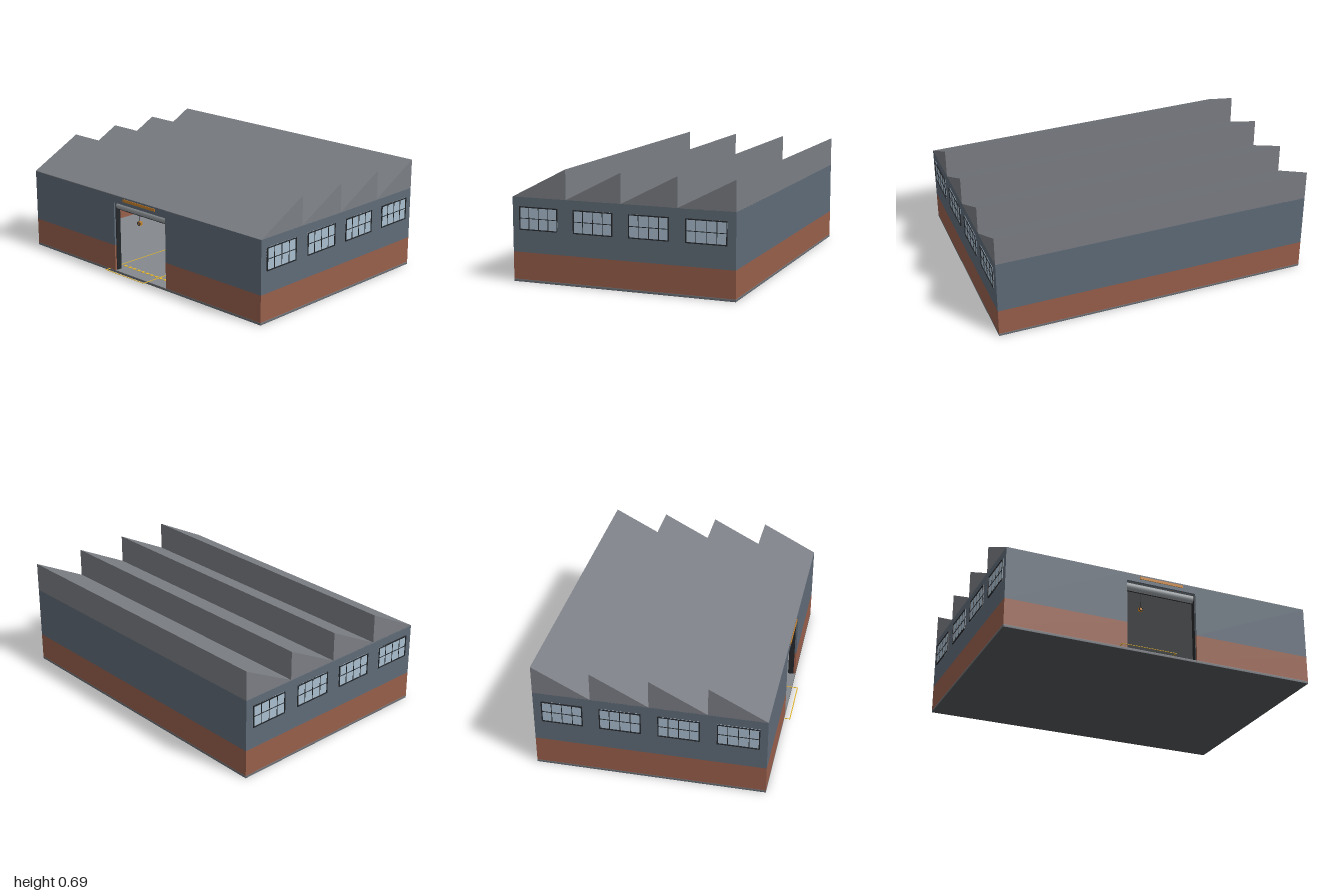
import * as THREE from 'three';

const mat = (color, side = THREE.FrontSide) => new THREE.MeshStandardMaterial({ color, side, flatShading: true });
const M = {
  blue: mat(0x5f6b78), brick: mat(0x985f4b), roof: mat(0x7b7e84), plinth: mat(0x6a6e74),
  floor: mat(0x85888c), under: mat(0x55575a), frame: mat(0x25282b), glass: mat(0xa9bdcf),
  metal: mat(0x9a9fa3), yellow: mat(0xe0b32a), orange: mat(0xc9822b), board: mat(0x5f7f92),
};

const XW = 0.993, ZF = 0.675, ZB = -0.72, T = 0.012;
const DEPTH = ZF - ZB, ZM = (ZF + ZB) / 2;
const FLOOR = 0.015, BAND = 0.18, EAVE = 0.51, RIDGE = 0.69;
const DOOR = { x0: -0.23, x1: 0.225, top: 0.46 };

// Box given by its extents along each axis
function box(parent, name, m, x0, x1, y0, y1, z0, z1) {
  const mesh = new THREE.Mesh(new THREE.BoxGeometry(x1 - x0, y1 - y0, z1 - z0), m);
  mesh.position.set((x0 + x1) / 2, (y0 + y1) / 2, (z0 + z1) / 2);
  mesh.name = name;
  parent.add(mesh);
  return mesh;
}

function group(parent, name) {
  const g = new THREE.Group();
  g.name = name;
  parent.add(g);
  return g;
}

// One colour band of the four walls, leaving the doorway free
function wallBand(parent, name, m, y0, y1) {
  const g = group(parent, name);
  box(g, 'backWall', m, -XW, XW, y0, y1, ZB, ZB + T);
  for (const s of [-1, 1]) {
    const x = s * (XW - T / 2);
    box(g, 'sideWall', m, x - T / 2, x + T / 2, y0, y1, ZB + T, ZF - T);
  }
  box(g, 'frontWallRight', m, -XW, DOOR.x0, y0, y1, ZF - T, ZF);
  box(g, 'frontWallLeft', m, DOOR.x1, XW, y0, y1, ZF - T, ZF);
  if (y1 > DOOR.top) box(g, 'doorLintel', m, DOOR.x0, DOOR.x1, DOOR.top, y1, ZF - T, ZF);
}

// Sawtooth roof: four slopes rising to the back, each with a vertical drop
function sawtoothRoof(parent) {
  const n = 4, step = DEPTH / n;
  const shape = new THREE.Shape();
  shape.moveTo(-ZF, EAVE - 0.004);
  shape.lineTo(-ZF, EAVE);
  for (let i = 0; i < n; i++) {
    const back = -ZF + (i + 1) * step;
    shape.lineTo(back, RIDGE);
    shape.lineTo(back, i < n - 1 ? EAVE : EAVE - 0.004);
  }
  const geo = new THREE.ExtrudeGeometry(shape, { depth: 2 * XW, bevelEnabled: false });
  geo.rotateY(Math.PI / 2);
  geo.translate(-XW, 0, 0);
  const roof = new THREE.Mesh(geo, M.roof);
  roof.name = 'sawtoothRoof';
  parent.add(roof);
}

// Eight-pane window on the side wall s = -1 or 1
function sideWindow(parent, s, zc) {
  const g = group(parent, 'sideWindow');
  const w = 0.25, y0 = 0.315, y1 = 0.455, b = 0.006;
  const bar = (name, m, ya, yb, za, zb, out) => {
    const a = s * (XW - 0.003), c = s * out;
    box(g, name, m, Math.min(a, c), Math.max(a, c), ya, yb, za, zb);
  };
  const za = zc - w / 2, zb = zc + w / 2;
  bar('windowGlass', M.glass, y0, y1, za, zb, 0.9955);
  bar('windowSill', M.frame, y0, y0 + b, za, zb, 1);
  bar('windowHead', M.frame, y1 - b, y1, za, zb, 1);
  bar('windowJamb', M.frame, y0, y1, za, za + b, 1);
  bar('windowJamb', M.frame, y0, y1, zb - b, zb, 1);
  bar('windowRail', M.frame, 0.383, 0.387, za, zb, 0.998);
  for (let i = 1; i < 4; i++) {
    const z = za + (w * i) / 4;
    bar('windowMullion', M.frame, y0, y1, z - 0.002, z + 0.002, 0.998);
  }
}

// Thin painted rectangle outline on the floor
function bayOutline(parent, x0, x1, z0, z1) {
  const g = group(parent, 'bayMarking');
  const w = 0.006, y0 = FLOOR, y1 = FLOOR + 0.002;
  box(g, 'bayLine', M.yellow, x0, x1, y0, y1, z0, z0 + w);
  box(g, 'bayLine', M.yellow, x0, x1, y0, y1, z1 - w, z1);
  box(g, 'bayLine', M.yellow, x0, x0 + w, y0, y1, z0 + w, z1 - w);
  box(g, 'bayLine', M.yellow, x1 - w, x1, y0, y1, z0 + w, z1 - w);
}

function cylinder(parent, name, m, r, len, x, y, z, sides = 16) {
  const mesh = new THREE.Mesh(new THREE.CylinderGeometry(r, r, len, sides), m);
  mesh.position.set(x, y, z);
  mesh.name = name;
  parent.add(mesh);
  return mesh;
}

export function createModel() {
  const model = new THREE.Group();
  model.name = 'workshop';

  // Foundation and floor
  box(model, 'underside', M.under, -XW, XW, 0, 0.002, ZB, ZF);
  box(model, 'plinth', M.plinth, -XW, XW, 0.002, 0.012, ZB, ZF);
  box(model, 'floor', M.floor, -XW, XW, 0.012, FLOOR, ZB, ZF);

  // Walls and roof
  wallBand(model, 'brickBand', M.brick, FLOOR, BAND);
  wallBand(model, 'paintedBand', M.blue, BAND, EAVE);
  sawtoothRoof(model);

  // Windows on both sides
  for (const s of [-1, 1]) {
    for (let i = 0; i < 4; i++) sideWindow(model, s, 0.505 - 0.35 * i);
  }

  // Rolled-up shutter and its guide rails
  const door = group(model, 'shutterDoor');
  const roll = cylinder(door, 'shutterRoll', M.metal, 0.024, DOOR.x1 - DOOR.x0, (DOOR.x0 + DOOR.x1) / 2, 0.436, 0.637, 24);
  roll.rotation.z = Math.PI / 2;
  roll.material = new THREE.MeshStandardMaterial({ color: 0x9a9fa3 });
  box(door, 'shutterEdge', M.frame, DOOR.x0, DOOR.x1, 0.408, 0.416, 0.632, 0.642);
  box(door, 'guideRail', M.frame, DOOR.x0 - 0.004, DOOR.x0 + 0.004, FLOOR, DOOR.top, 0.628, ZF - T);
  box(door, 'guideRail', M.frame, DOOR.x1 - 0.004, DOOR.x1 + 0.004, FLOOR, DOOR.top, 0.628, ZF - T);

  // Plain sign strip above the door
  box(model, 'signStrip', M.orange, -0.145, 0.14, 0.482, 0.499, ZF, ZF + 0.004);

  // Hanging hoist
  const hoist = group(model, 'hoist');
  cylinder(hoist, 'hoistCable', M.frame, 0.002, 0.17, -0.1, 0.425, 0.58, 8);
  box(hoist, 'hoistBlock', M.orange, -0.112, -0.088, 0.32, 0.342, 0.57, 0.59);
  const ring = new THREE.Mesh(new THREE.TorusGeometry(0.011, 0.003, 8, 16), M.frame);
  ring.position.set(-0.1, 0.331, 0.59);
  ring.name = 'hoistPulley';
  hoist.add(ring);

  // Painted floor markings
  const marks = group(model, 'floorMarkings');
  bayOutline(marks, -0.28, 0.07, 0.2, 0.715);
  bayOutline(marks, -0.28, 0.07, -0.45, 0.1);
  bayOutline(marks, 0.2, 0.55, -0.45, 0.1);
  for (let x = -0.25; x < 0.26; x += 0.04) {
    box(marks, 'thresholdDash', M.yellow, x, x + 0.022, FLOOR, FLOOR + 0.002, 0.57, 0.59);
  }

  // Tool board on the back wall
  const tools = group(model, 'toolBoard');
  const zBoard = ZB + T;
  box(tools, 'boardPanel', M.board, 0.02, 0.19, 0.09, 0.165, zBoard, zBoard + 0.006);
  for (let i = 0; i < 8; i++) {
    const x = 0.05 + i * 0.017, len = 0.014 + (i % 3) * 0.004;
    box(tools, 'spanner', M.metal, x, x + 0.004, 0.157 - len, 0.157, zBoard + 0.006, zBoard + 0.01);
  }
  for (let i = 0; i < 5; i++) {
    const x = 0.04 + i * 0.03;
    box(tools, 'screwdriverHandle', i % 2 ? M.orange : M.yellow, x, x + 0.005, 0.112, 0.124, zBoard + 0.006, zBoard + 0.011);
    box(tools, 'screwdriverBlade', M.metal, x + 0.001, x + 0.004, 0.1, 0.112, zBoard + 0.006, zBoard + 0.009);
  }

  return model;
}
